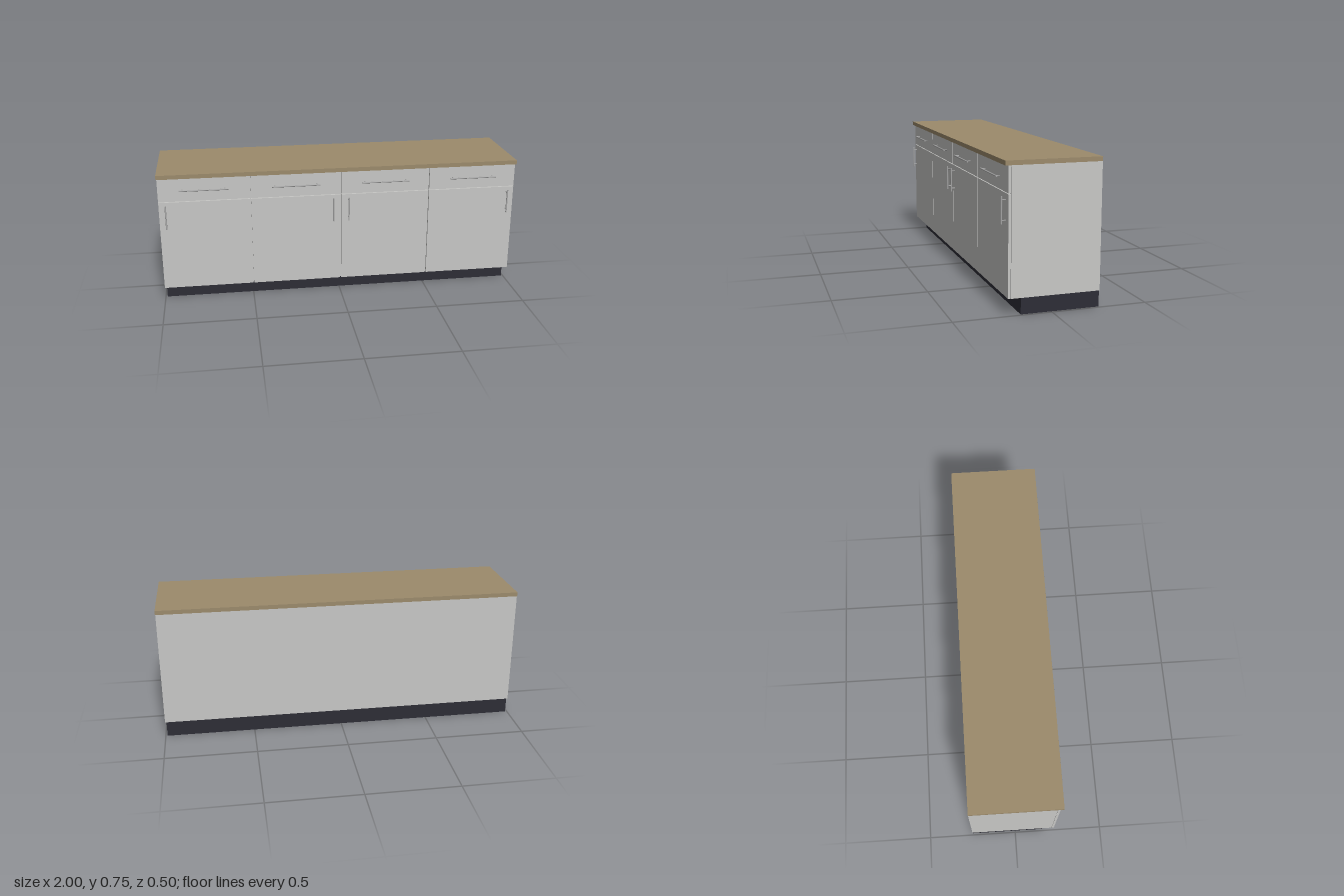
import * as THREE from 'three';

const material = (name, color) => {
  const m = new THREE.MeshStandardMaterial({ color });
  m.name = name;
  return m;
};

export function createModel() {
  const model = new THREE.Group();
  model.name = 'baseCabinets';

  const cabinetGrey = material('cabinetGrey', 0xc8c8c6);
  const worktopTan = material('worktopTan', 0x9c8b6c);
  const plinthDark = material('plinthDark', 0x2d2d36);
  const handleSteel = material('handleSteel', 0xa6a6a6);

  // Box given by its lower and upper corners
  const box = (name, mat, [x0, y0, z0], [x1, y1, z1]) => {
    const mesh = new THREE.Mesh(new THREE.BoxGeometry(x1 - x0, y1 - y0, z1 - z0), mat);
    mesh.position.set((x0 + x1) / 2, (y0 + y1) / 2, (z0 + z1) / 2);
    mesh.name = name;
    model.add(mesh);
  };

  // Bar handle lying along x, with two posts back to the door face
  const doorFace = 0.225;
  const barZ = 0.246;
  const barHandle = (name, length, postSpan) => {
    const handle = new THREE.Group();
    handle.name = name;
    const bar = new THREE.Mesh(new THREE.CylinderGeometry(0.004, 0.004, length, 16), handleSteel);
    bar.rotation.z = Math.PI / 2;
    bar.name = 'handleBar';
    handle.add(bar);
    for (const side of [-1, 1]) {
      const depth = barZ - doorFace;
      const post = new THREE.Mesh(new THREE.CylinderGeometry(0.003, 0.003, depth, 12), handleSteel);
      post.rotation.x = Math.PI / 2;
      post.position.set(side * postSpan / 2, 0, -depth / 2);
      post.name = 'handlePost';
      handle.add(post);
    }
    model.add(handle);
    return handle;
  };

  // Carcass, recessed plinth and overhanging worktop
  box('plinth', plinthDark, [-0.99, 0, -0.25], [0.99, 0.085, 0.158]);
  box('carcass', cabinetGrey, [-0.998, 0.085, -0.25], [0.998, 0.727, 0.21]);
  box('worktop', worktopTan, [-1, 0.727, -0.25], [1, 0.75, 0.242]);

  // Four bays: drawer above door, door handles mirrored about the centre
  const doorHandleX = [-0.96, -0.043, 0.043, 0.957];
  const gap = 0.003;
  doorHandleX.forEach((handleX, i) => {
    const x0 = -1 + i * 0.5 + gap;
    const x1 = x0 + 0.5 - 2 * gap;
    box('drawerFront', cabinetGrey, [x0, 0.595, 0.212], [x1, 0.725, doorFace]);
    box('door', cabinetGrey, [x0, 0.086, 0.212], [x1, 0.591, doorFace]);

    barHandle('drawerHandle', 0.264, 0.23).position.set((x0 + x1) / 2, 0.66, barZ);

    const doorHandle = barHandle('doorHandle', 0.134, 0.1);
    doorHandle.rotation.z = Math.PI / 2;
    doorHandle.position.set(handleX, 0.51, barZ);
  });

  return model;
}
